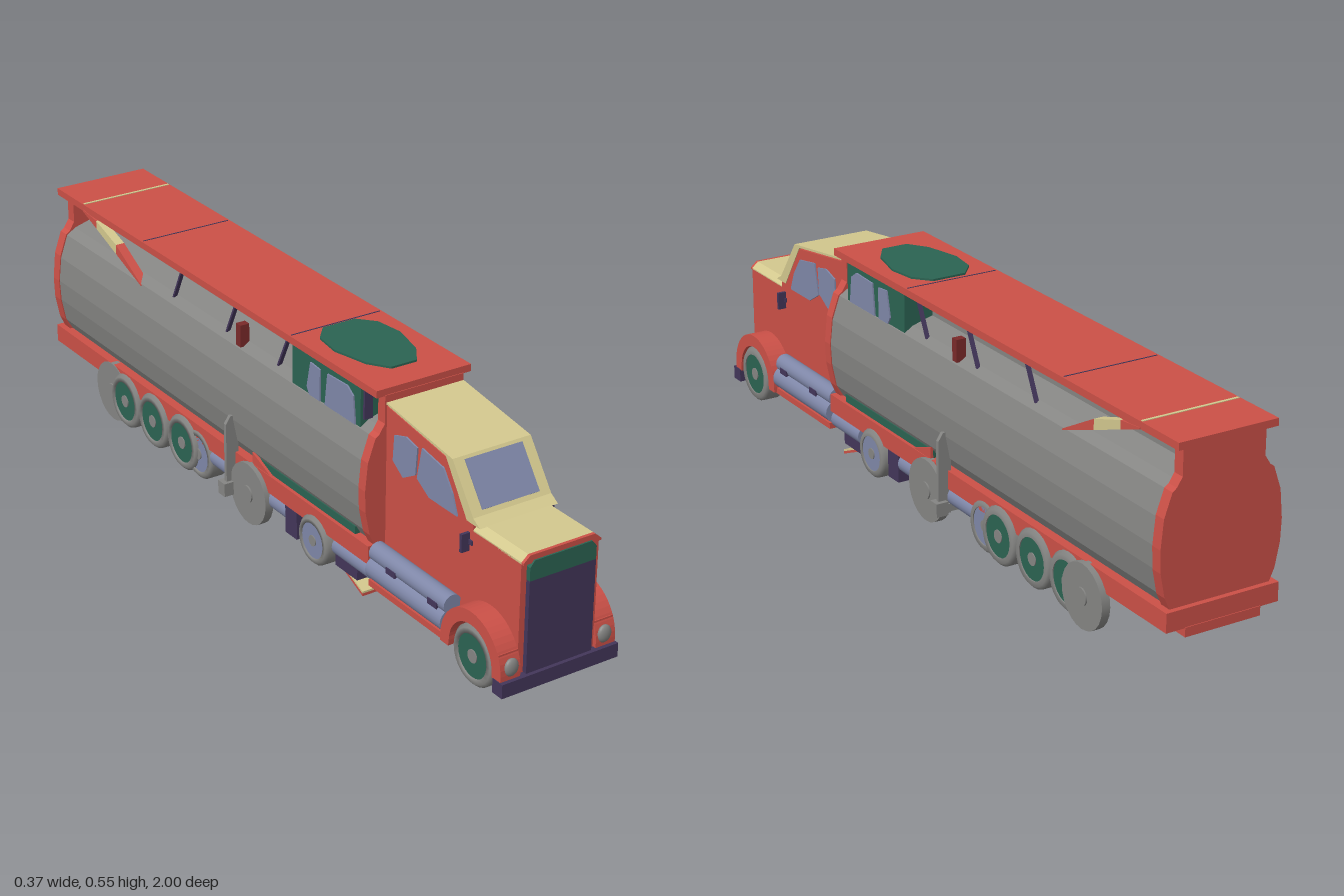
import * as THREE from 'three';

const mat = (name, color) => {
  const m = new THREE.MeshStandardMaterial({ color });
  m.name = name;
  return m;
};

export function createModel() {
  const red = mat('red paint', 0xcb5047), cream = mat('cream paint', 0xd3c88e);
  const darkRed = mat('dark red', 0x7a2a2a);
  const green = mat('green paint', 0x2b6352), purple = mat('dark purple', 0x43365a);
  const glass = mat('blue grey', 0x7f87a8), grey = mat('grey metal', 0x858583);
  const model = new THREE.Group();
  model.name = 'tankerTruck';

  const add = (name, geo, m, x = 0, y = 0, z = 0) => {
    const mesh = new THREE.Mesh(geo, m);
    mesh.name = name;
    mesh.position.set(x, y, z);
    model.add(mesh);
    return mesh;
  };
  // Box given by its limits
  const box = (name, m, x0, x1, y0, y1, z0, z1) =>
    add(name, new THREE.BoxGeometry(Math.abs(x1 - x0), y1 - y0, Math.abs(z1 - z0)), m,
      (x0 + x1) / 2, (y0 + y1) / 2, (z0 + z1) / 2);
  const shapeOf = (pts) => new THREE.Shape(pts.map(([a, b]) => new THREE.Vector2(a, b)));
  // Side outline (z, y) extruded across x, centred on cx
  const side = (name, m, shape, cx, width) => {
    const geo = new THREE.ExtrudeGeometry(shape, { depth: width, bevelEnabled: false, curveSegments: 12 });
    geo.translate(0, 0, -width / 2).rotateY(-Math.PI / 2);
    return add(name, geo, m, cx);
  };
  // Front outline (x, y) extruded from z0 to z1
  const front = (name, m, pts, z0, z1) =>
    add(name, new THREE.ExtrudeGeometry(shapeOf(pts), { depth: z1 - z0, bevelEnabled: false }), m, 0, 0, z0);
  const mirror = (half) => [...half, ...half.slice().reverse().map(([x, y]) => [-x, y])];
  const tube = (name, m, r, x, y, z0, z1) =>
    add(name, new THREE.CylinderGeometry(r, r, z1 - z0, 20).rotateX(Math.PI / 2), m, x, y, (z0 + z1) / 2);
  const disc = (name, m, r, w, x, y, z) =>
    add(name, new THREE.CylinderGeometry(r, r, w, 24).rotateZ(Math.PI / 2), m, x, y, z);
  // Tyre ring with a hub, a blue grey inner face and a small cap
  const wheel = (name, s, z, r, y, x0, x1, hub) => {
    const w = x1 - x0, cx = s * (x0 + x1) / 2, h = w / 2, b = 0.008, ri = r * 0.72;
    const pts = [[ri, -h], [r - b, -h], [r, -h + b], [r, h - b], [r - b, h], [ri, h], [ri, -h]];
    add(name + 'Tyre', new THREE.LatheGeometry(pts.map((p) => new THREE.Vector2(...p)), 24)
      .rotateZ(Math.PI / 2), grey, cx, y, z);
    disc(name + 'Hub', hub, ri + 0.001, h - 0.003, cx + s * (h - 0.003) / 2, y, z);
    disc(name + 'InnerHub', glass, ri + 0.001, h - 0.003, cx - s * (h - 0.003) / 2, y, z);
    disc(name + 'Cap', grey, r * 0.22, w - 0.001, cx, y, z);
  };

  // Cab body, hood and roof
  side('cabBody', red, shapeOf([[0.98, 0.065], [0.98, 0.34], [0.81, 0.34], [0.81, 0.36], [0.725, 0.472],
    [0.48, 0.507], [0.48, 0.065]]), 0, 0.21);
  const shoulder = mirror([[0.105, 0.338], [0.105, 0.343], [0.088, 0.358]]);
  front('hoodTop', cream, shoulder, 0.8, 0.98);
  front('hoodFrontEdge', red, shoulder, 0.98, 0.988);
  side('windshieldFrame', cream, shapeOf([[0.835, 0.357], [0.81, 0.372], [0.73, 0.482], [0.48, 0.516],
    [0.48, 0.511], [0.705, 0.479], [0.787, 0.357]]), 0, 0.213);
  const pane = box('windshield', glass, -0.078, 0.078, 0, 0.116, -0.003, 0.003);
  pane.position.set(0, 0.4285, 0.769);
  pane.rotation.x = -Math.atan2(0.08, 0.11);
  front('grille', purple, [[-0.09, 0.068], [0.09, 0.068], [0.09, 0.297], [-0.09, 0.297]], 0.98, 0.992);
  front('grilleCrown', green, mirror([[0.09, 0.297], [0.09, 0.33], [0.078, 0.345]]), 0.98, 0.992);
  box('frontBumper', purple, -0.16, 0.16, 0.032, 0.067, 0.965, 1);
  box('cabFloor', darkRed, -0.1, 0.1, 0.057, 0.066, 0.33, 0.96);

  const doorPanes = [
    [[0.754, 0.352], [0.735, 0.40], [0.70, 0.448], [0.62, 0.462], [0.603, 0.38], [0.65, 0.352]],
    [[0.597, 0.385], [0.603, 0.455], [0.56, 0.464], [0.515, 0.45], [0.51, 0.385], [0.55, 0.358]],
  ];
  const cabinPanes = [
    [[0.393, 0.432], [0.385, 0.5], [0.36, 0.517], [0.28, 0.514], [0.27, 0.432]],
    [[0.25, 0.432], [0.25, 0.512], [0.21, 0.516], [0.195, 0.45], [0.205, 0.432]],
  ];

  for (const s of [1, -1]) {
    // Cab sides
    doorPanes.forEach((p) => side('doorWindow', glass, shapeOf(p), s * 0.106, 0.006));
    box('doorHandle', purple, s * 0.105, s * 0.109, 0.305, 0.316, 0.785, 0.81);
    box('mirror', purple, s * 0.105, s * 0.127, 0.287, 0.332, 0.79, 0.798);
    const arch = new THREE.Shape();
    arch.absarc(0.88, 0.08, 0.11, 0, Math.PI, false);
    arch.lineTo(0.77, 0.065);
    arch.lineTo(0.8, 0.065);
    arch.absarc(0.88, 0.08, 0.078, Math.PI, 0, true);
    arch.lineTo(0.96, 0.065);
    arch.lineTo(0.99, 0.065);
    side('fender', red, arch, s * 0.131, 0.054);
    box('fenderFront', red, s * 0.104, s * 0.157, 0.065, 0.13, 0.965, 0.98);
    const lamp = add('headlight', new THREE.SphereGeometry(0.02, 16, 12), grey, s * 0.128, 0.096, 0.988);
    lamp.scale.set(0.95, 1.1, 0.5);
    tube('lowerFuelTank', glass, 0.03, s * 0.13, 0.106, 0.48, 0.77);
    tube('upperFuelTank', glass, 0.024, s * 0.126, 0.145, 0.48, 0.77);
    for (const z of [0.55, 0.71]) box('tankBracket', purple, s * 0.105, s * 0.152, 0.128, 0.143, z, z + 0.035);
    box('runningBoard', red, s * 0.1, s * 0.15, 0.062, 0.078, 0.48, 0.785);
    wheel('front', s, 0.885, 0.074, 0.08, 0.1, 0.157, green);

    // Trailer wheels and discs, standing just outside the chassis
    wheel('leading', s, 0.255, 0.063, 0.076, 0.1, 0.157, glass);
    wheel('inner', s, -0.27, 0.067, 0.08, 0.095, 0.152, glass);
    for (const z of [-0.34, -0.485, -0.625]) wheel('rear', s, z, 0.073, 0.083, 0.1, 0.158, green);
    for (const [z, x] of [[-0.02, 0.15], [-0.7, s > 0 ? 0.153 : 0.14]]) {
      disc('spareDisc', grey, 0.08, 0.022, s * x, 0.081, z);
      disc('spareDiscCap', grey, 0.022, 0.03, s * x, 0.081, z);
    }
    for (const [z0, z1] of [[-0.22, 0.13], [0.33, 0.47]]) tube('sidePipe', glass, 0.026, s * 0.125, 0.092, z0, z1);

    // Upright support with its foot
    front('support', grey, [[0.14, 0.05], [0.175, 0.05], [0.175, 0.24], [0.162, 0.26], [0.145, 0.26], [0.14, 0.25]]
      .map(([x, y]) => [s * x, y]), -0.104, -0.094);
    box('supportFoot', grey, s * 0.155, s * 0.187, 0.05, 0.085, -0.115, -0.085);

    // Cabin windows, roof struts and diagonal brace
    cabinPanes.forEach((p) => side('cabinWindow', glass, shapeOf(p), s * 0.129, 0.006));
    box('cabinFrontPane', purple, s * 0.098, s * 0.121, 0.45, 0.525, 0.41, 0.416);
    for (const z of [0.07, -0.16, -0.41]) side('roofStrut', purple, shapeOf([[z + 0.025, 0.53], [z + 0.019, 0.53],
      [z - 0.025, 0.44], [z - 0.019, 0.44]]), s * 0.112, 0.01);
    box('sideLamp', darkRed, s * 0.105, s * 0.13, 0.435, 0.492, -0.115, -0.095);
    const brace = (name, m, t0, t1, h0, h1) => {
      const at = (t, d) => [-0.565 - 0.295 * t, 0.424 + 0.106 * t + d];
      side(name, m, shapeOf([at(t0, 0), at(t1, 0), at(t1, h1), at(t0, h0)]), s * 0.12, 0.024);
    };
    brace('braceLower', red, 0, 0.42, 0.004, 0.026);
    brace('braceMiddle', cream, 0.42, 0.76, 0.026, 0.022);
    brace('braceUpper', red, 0.76, 1, 0.022, 0.004);
    side('sillWedge', red, shapeOf([[0.06, 0.16], [-0.02, 0.16], [-0.02, 0.19]]), s * 0.143, 0.008);
  }

  // Tank with a narrow raised spine, closed by end plates
  front('tank', grey, mirror([[0.125, 0.16], [0.143, 0.19], [0.155, 0.25], [0.158, 0.305], [0.151, 0.37],
    [0.13, 0.43], [0.105, 0.446], [0.05, 0.462], [0.05, 0.53]]), -0.965, 0.455);
  const plate = mirror([[0.13, 0.155], [0.146, 0.19], [0.158, 0.25], [0.16, 0.305], [0.153, 0.375], [0.133, 0.432],
    [0.122, 0.44], [0.108, 0.462], [0.108, 0.532]]);
  front('tankFrontPlate', red, plate, 0.45, 0.477);
  front('tankRearPlate', red, plate, -0.985, -0.955);

  // Raised cabin and roof
  box('cabin', green, -0.128, 0.128, 0.425, 0.532, 0.13, 0.41);
  box('roof', red, -0.13, 0.13, 0.53, 0.548, -0.998, 0.475);
  box('roofLining', darkRed, -0.127, 0.127, 0.528, 0.531, -0.955, 0.45);
  for (const z of [0.12, -0.56]) box('roofSeam', purple, -0.125, 0.125, 0.547, 0.549, z - 0.0015, z + 0.0015);
  box('roofStripe', cream, -0.127, 0.127, 0.547, 0.5495, -0.864, -0.857);
  const hatch = front('roofHatch', green, mirror([[0.035, -0.397], [0.07, -0.345], [0.092, -0.25], [0.082, -0.175],
    [0.045, -0.132]]), 0, 0.007);
  hatch.rotation.x = -Math.PI / 2;
  hatch.position.set(0, 0.546, 0);

  // Chassis and underside
  box('chassis', red, -0.149, 0.149, 0.113, 0.16, -0.998, 0.475);
  box('sill', green, -0.14, 0.14, 0.155, 0.18, -0.02, 0.41);
  box('rearStep', red, -0.1, 0.1, 0.092, 0.115, -1, -0.85);
  box('underframe', green, -0.1, 0.1, 0.08, 0.115, -0.85, 0.13);
  box('frontUnderframe', darkRed, -0.1, 0.1, 0.062, 0.115, 0.13, 0.49);
  box('frontCrossbeam', purple, -0.14, 0.14, 0.042, 0.09, 0.33, 0.42);
  box('middleCrossbeam', purple, -0.15, 0.15, 0.042, 0.113, 0.13, 0.18);
  box('supportCrossbar', grey, -0.16, 0.16, 0.055, 0.075, -0.108, -0.092);
  // Tilted scoop, cream above and red below
  side('scoopTop', cream, shapeOf([[0.435, 0.013], [0.435, 0.018], [0.34, 0.06], [0.34, 0.054]]), 0, 0.27);
  side('scoopUnderside', red, shapeOf([[0.435, 0.006], [0.435, 0.013], [0.34, 0.054], [0.34, 0.047]]), 0, 0.27);
  return model;
}
